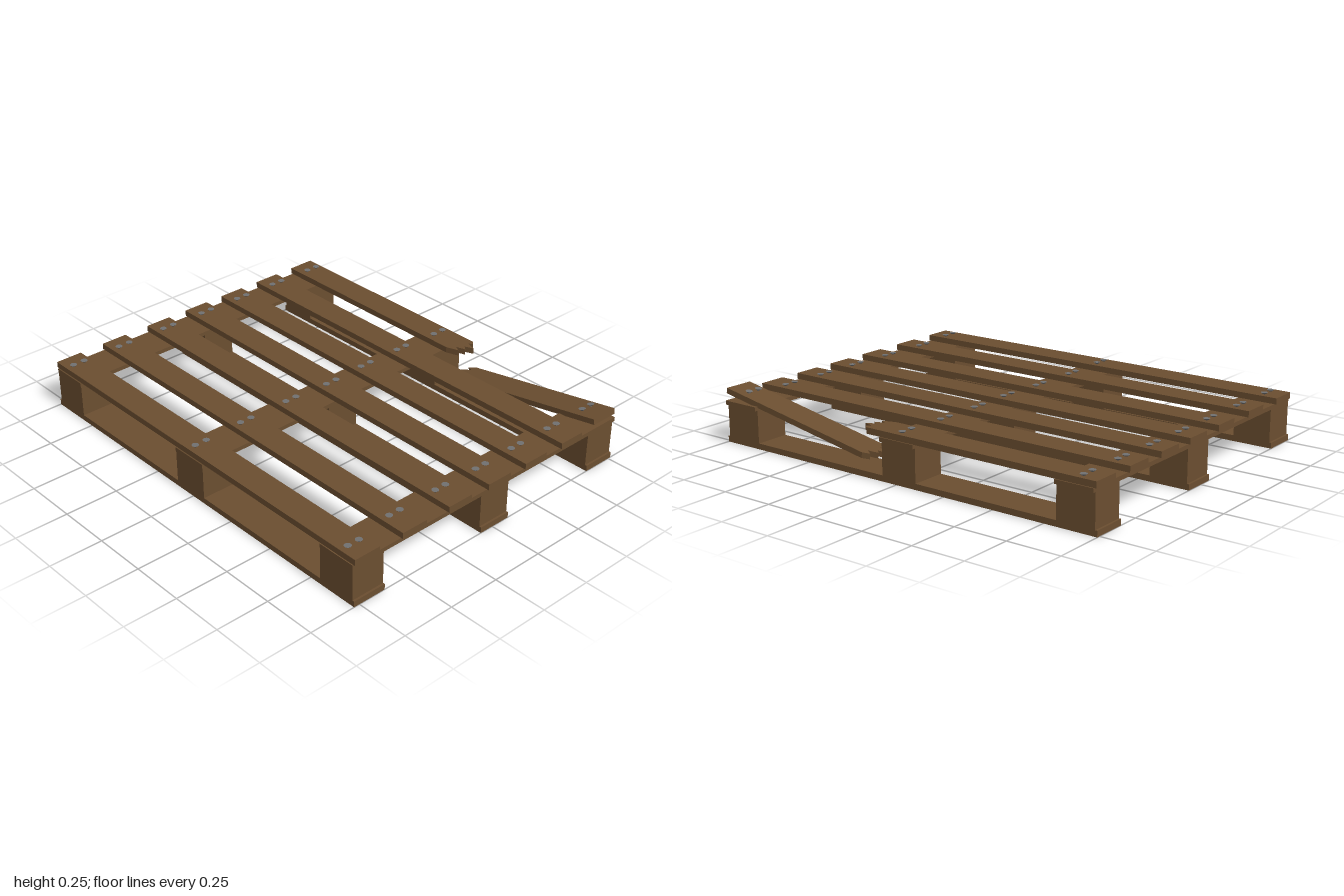
import * as THREE from 'three';

const wood = new THREE.MeshStandardMaterial({ color: 0x6b4e30, flatShading: true });
const steel = new THREE.MeshStandardMaterial({ color: 0x707070 });

// Box given by its extents on each axis
function board(name, [x0, x1], [y0, y1], [z0, z1]) {
  const mesh = new THREE.Mesh(new THREE.BoxGeometry(x1 - x0, y1 - y0, z1 - z0), wood);
  mesh.name = name;
  mesh.position.set((x0 + x1) / 2, (y0 + y1) / 2, (z0 + z1) / 2);
  return mesh;
}

// Plank with a splintered end: outline in (x, z), resting on local y = 0
function splinteredBoard(name, outline, thickness) {
  const shape = new THREE.Shape(outline.map(([x, z]) => new THREE.Vector2(x, -z)));
  const geometry = new THREE.ExtrudeGeometry(shape, { depth: thickness, bevelEnabled: false });
  geometry.rotateX(-Math.PI / 2);
  const mesh = new THREE.Mesh(geometry, wood);
  mesh.name = name;
  return mesh;
}

// Countersunk nail with its shaft, origin at the board surface
function nail(x, y, z) {
  const group = new THREE.Group();
  group.name = 'nail';
  const head = new THREE.Mesh(new THREE.CylinderGeometry(0.016, 0.007, 0.008, 16), steel);
  head.name = 'nailHead';
  head.position.y = 0.003;
  const shaft = new THREE.Mesh(new THREE.CylinderGeometry(0.005, 0.005, 0.035, 8), steel);
  shaft.name = 'nailShaft';
  shaft.position.y = -0.017;
  group.add(head, shaft);
  group.position.set(x, y, z);
  return group;
}

export function createModel() {
  const pallet = new THREE.Group();
  pallet.name = 'brokenPallet';

  const columns = [[-0.99, -0.81], [-0.105, 0.075], [0.805, 0.99]];
  const rows = [[0.615, 0.778], [-0.095, 0.068], [-0.765, -0.602]];

  // Bottom runners and spacer blocks
  for (const row of rows) {
    pallet.add(board('bottomRunner', [-1, 1], [0, 0.027], row));
    for (const column of columns) pallet.add(board('spacerBlock', column, [0.027, 0.178], row));
  }

  // Cross boards over the blocks
  for (const column of columns) pallet.add(board('crossBoard', column, [0.178, 0.197], [-0.78, 0.78]));

  // Whole deck slats: centre z, then x of the three nail pairs
  const top = 0.225;
  const slats = [
    [0.71, -0.92, -0.02, 0.92],
    [0.457, -0.92, -0.03, 0.885],
    [0.2, -0.92, -0.03, 0.885],
    [-0.03, -0.92, -0.02, 0.89],
    [-0.252, -0.92, -0.03, 0.885],
    [-0.48, -0.92, -0.03, 0.885],
  ];
  for (const [z, ...nails] of slats) {
    pallet.add(board('deckSlat', [-1, 1], [0.197, top], [z - 0.065, z + 0.065]));
    for (const x of nails) pallet.add(nail(x, top, z - 0.029), nail(x, top, z + 0.029));
  }

  // Broken slat, the part still in place
  const fixed = splinteredBoard('brokenSlatFixed', [
    [-1, -0.775], [0.15, -0.775], [0.165, -0.758], [0.145, -0.745], [0.195, -0.73],
    [0.155, -0.712], [0.175, -0.695], [0.13, -0.68], [0.16, -0.665], [0.1, -0.645], [-1, -0.645],
  ], top - 0.197);
  fixed.position.y = 0.197;
  pallet.add(fixed);
  for (const x of [-0.92, -0.02]) pallet.add(nail(x, top, -0.743), nail(x, top, -0.685));

  // Broken slat, the loose part sagging from the left edge (local x = 0 at its outer end)
  const loose = new THREE.Group();
  loose.name = 'brokenSlatLoose';
  loose.add(splinteredBoard('loosePlank', [
    [0, -0.765], [0, -0.627], [-0.84, -0.627], [-0.855, -0.645], [-0.83, -0.66], [-0.88, -0.68],
    [-0.845, -0.695], [-0.865, -0.71], [-0.82, -0.73], [-0.85, -0.745], [-0.82, -0.765],
  ], 0.026));
  loose.add(nail(-0.098, 0.03, -0.725), nail(-0.098, 0.03, -0.668));
  loose.position.set(0.998, 0.226, 0);
  loose.rotation.z = 0.179;
  pallet.add(loose);

  return pallet;
}
